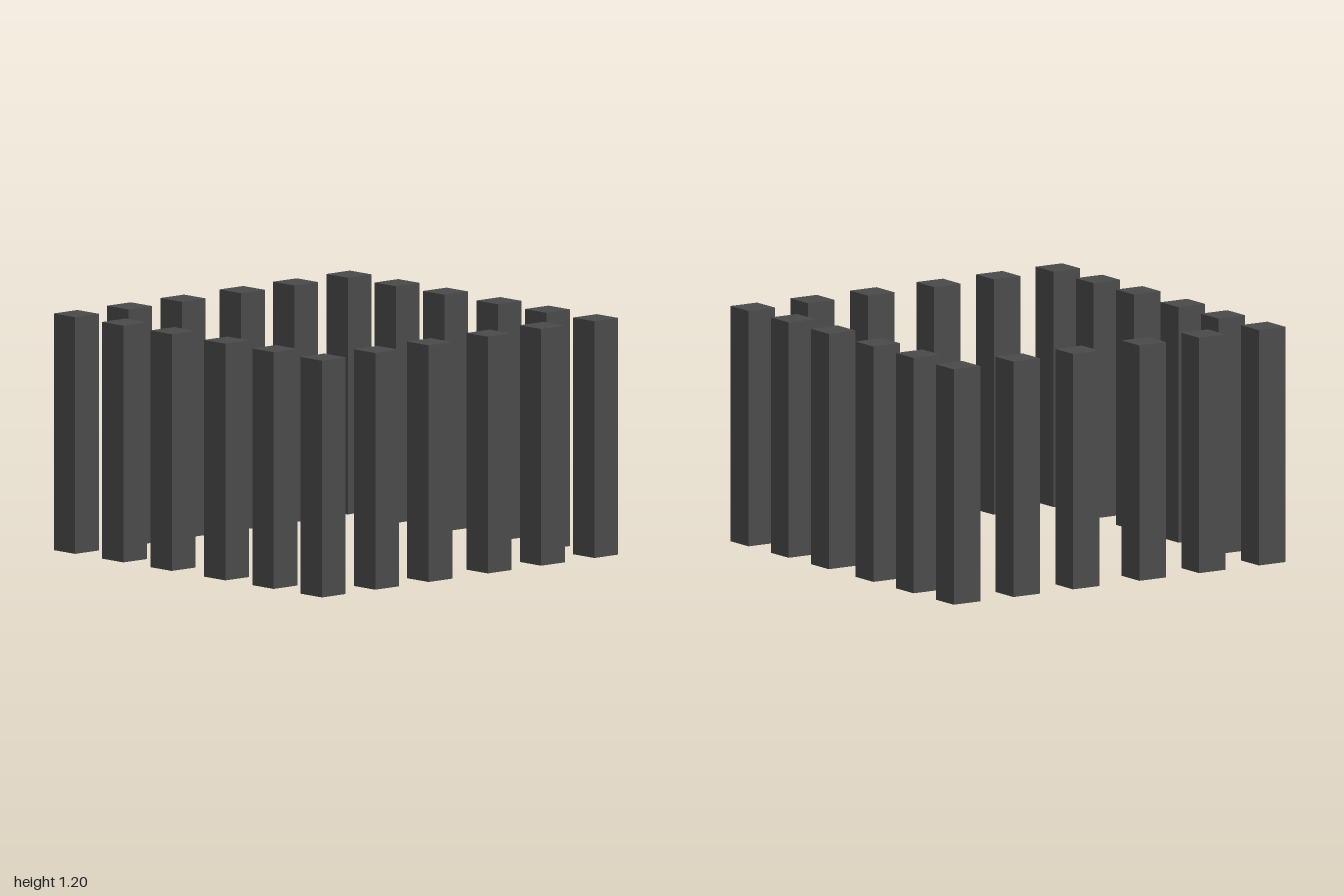
import * as THREE from 'three';

export function createModel() {
  const model = new THREE.Group();
  model.name = 'pillarSquare';

  const charcoal = new THREE.MeshStandardMaterial({ color: 0x4a4a4a });
  charcoal.name = 'charcoal';

  const width = 0.16, height = 1.2, edge = 0.92;
  const stops = [-edge, -0.56, -0.2, 0.2, 0.56, edge];
  const pillarShape = new THREE.BoxGeometry(width, height, width);

  // Square pillars standing around the perimeter, six to a side
  for (const x of stops) {
    for (const z of stops) {
      const onX = Math.abs(x) === edge, onZ = Math.abs(z) === edge;
      if (!onX && !onZ) continue;
      const pillar = new THREE.Mesh(pillarShape, charcoal);
      pillar.name = onX && onZ ? 'cornerPillar' : 'sidePillar';
      pillar.position.set(x, height / 2, z);
      model.add(pillar);
    }
  }
  return model;
}
